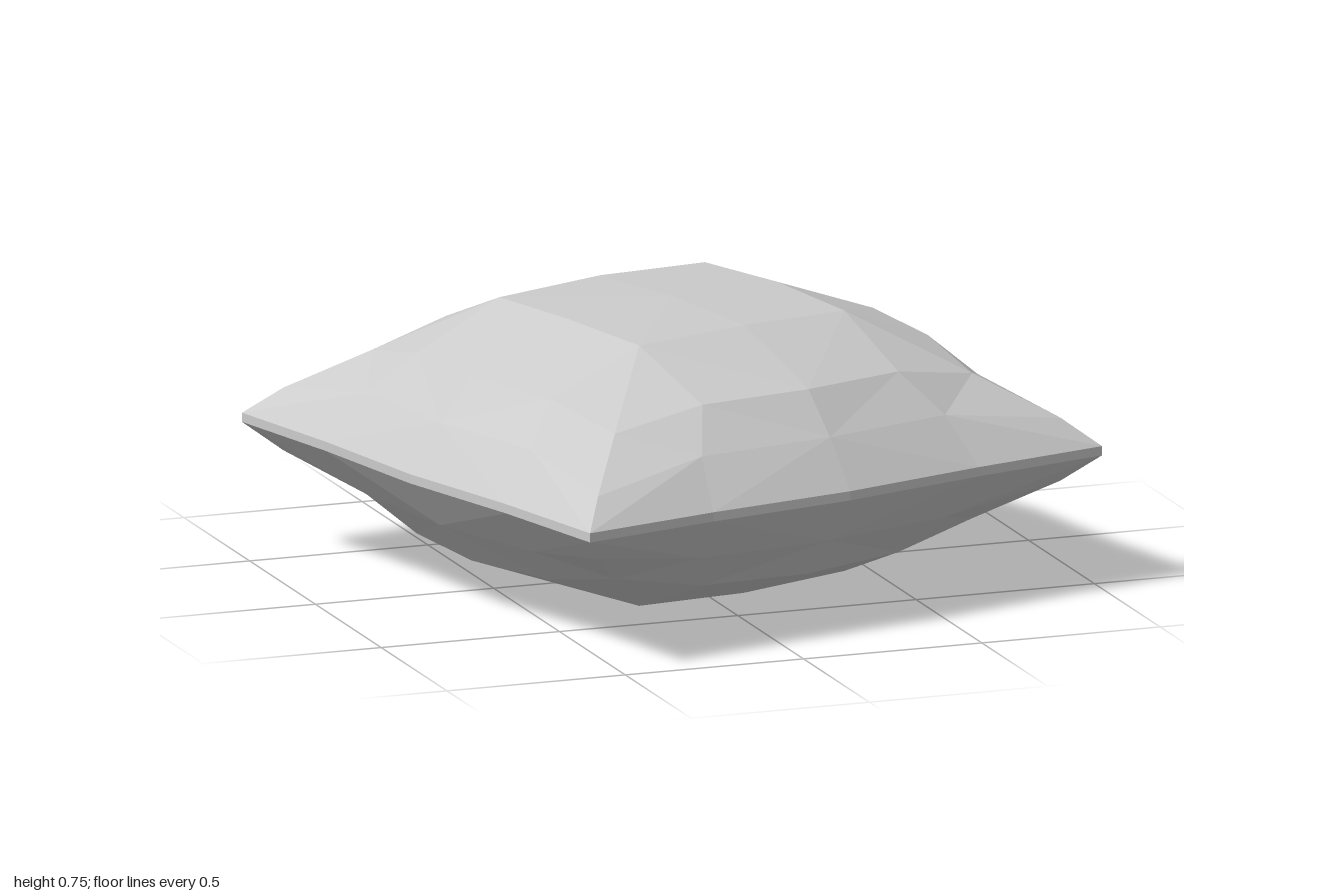
import * as THREE from 'three';

const MID = 0.378; // height of the seam centre line
// Each ring: [along, out, height above seam] for the corner, quarter and middle of a side
const RINGS = [
  { corner: [0.325, 0.325, 0.353], quarter: null, middle: [0, 0.335, 0.363] },
  { corner: [0.565, 0.565, 0.197], quarter: [0.31, 0.597, 0.245], middle: [0, 0.635, 0.25] },
  { corner: [0.732, 0.732, 0.085], quarter: [0.385, 0.705, 0.138], middle: [0, 0.735, 0.14] },
  { corner: [0.81, 0.81, 0.0125], quarter: [0.42, 0.81, 0.0125], middle: [0, 0.83, 0.0125] },
];

// Sixteen points around one ring; sign -1 gives the underside
function ringPoints({ corner, quarter, middle }, sign) {
  const q = quarter ?? corner;
  const side = [[-corner[0], corner[1], corner[2]], [-q[0], q[1], q[2]], middle, q];
  const points = [];
  for (let s = 0; s < 4; s++) {
    for (const [along, out, h] of side) {
      let x = along, z = out;
      for (let k = 0; k < s; k++) [x, z] = [z, -x];
      points.push(new THREE.Vector3(x * 1.0155, MID + sign * h, z * 0.985));
    }
  }
  return points;
}

function meshFrom(name, triangles, material) {
  const real = triangles.filter(([a, b, c]) => !a.equals(b) && !b.equals(c) && !c.equals(a));
  const geometry = new THREE.BufferGeometry().setFromPoints(real.flat());
  geometry.computeVertexNormals();
  const mesh = new THREE.Mesh(geometry, material);
  mesh.name = name;
  return mesh;
}

// Triangles between two rings; cross picks the diagonal, mirrored about each side's middle
function band(inner, outer, cross) {
  const triangles = [];
  for (let i = 0; i < 16; i++) {
    const j = (i + 1) % 16;
    const a = inner[i], b = outer[i], c = outer[j], d = inner[j];
    if ((i % 4 < 2) === cross) triangles.push([a, b, c], [a, c, d]);
    else triangles.push([a, b, d], [b, c, d]);
  }
  return triangles;
}

// One puffed face of the cushion
function cover(sign) {
  const rings = RINGS.map((ring) => ringPoints(ring, sign));
  const pole = new THREE.Vector3(0, MID + sign * 0.375, 0);
  const triangles = rings[0].map((p, i) => [pole, p, rings[0][(i + 1) % 16]]);
  for (let k = 0; k < 3; k++) triangles.push(...band(rings[k], rings[k + 1], k < 2));
  return sign > 0 ? triangles : triangles.map(([a, b, c]) => [a, c, b]);
}

export function createModel() {
  const material = new THREE.MeshStandardMaterial({ color: 0xcccccc, flatShading: true });
  const rim = RINGS[3];
  const cushion = new THREE.Group();
  cushion.name = 'cushion';
  cushion.add(
    meshFrom('topCover', cover(1), material),
    meshFrom('bottomCover', cover(-1), material),
    meshFrom('seam', band(ringPoints(rim, 1), ringPoints(rim, -1), true), material),
  );
  cushion.rotation.y = 0.258; // the cushion lies slightly turned

  const model = new THREE.Group();
  model.name = 'pillow';
  model.add(cushion);
  return model;
}
